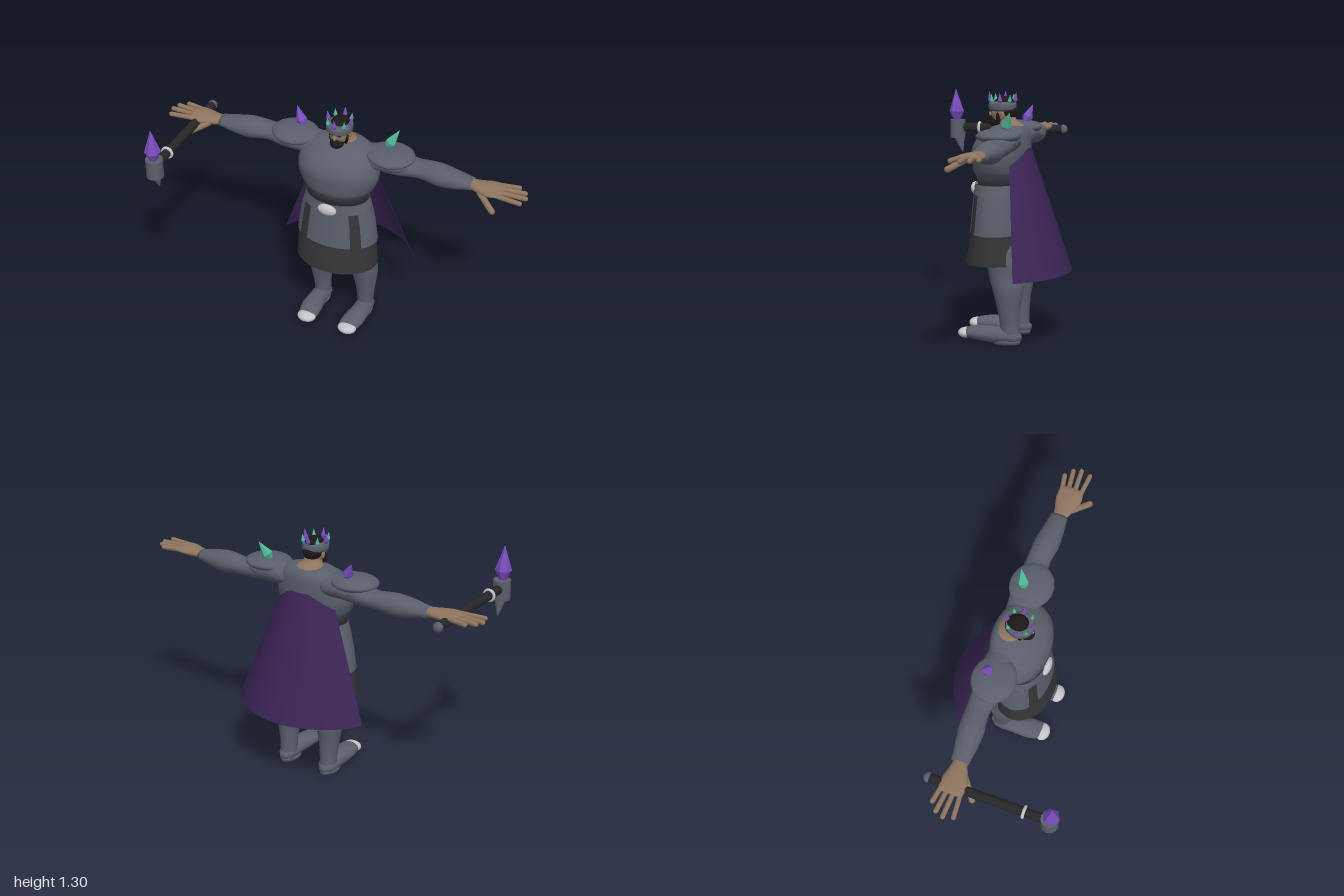
import * as THREE from 'three';

const mat = (name, color, side = THREE.FrontSide) => {
  const m = new THREE.MeshStandardMaterial({ color, side });
  m.name = name;
  return m;
};

// Smooth tube through elliptical sections [t, c1, c2, r1, r2] in rising t.
// Centres and radii: axis y -> (x, z), axis x -> (z, y), axis z -> (y, x).
function loft(axis, sections, { steps = 4, sides = 28, from = 0, to = 360, caps = true, grow = 0 } = {}) {
  const rows = [];
  const at = (i) => sections[Math.min(Math.max(i, 0), sections.length - 1)];
  for (let i = 0; i < sections.length - 1; i++)
    for (let s = 0; s < steps + (i === sections.length - 2 ? 1 : 0); s++) {
      const f = s / steps;
      rows.push(at(i).map((b, k) => {
        const c = at(i + 1)[k];
        if (k === 0 || steps === 1) return b + (c - b) * f;
        const m0 = (c - at(i - 1)[k]) / 2, m1 = (at(i + 2)[k] - b) / 2;
        const f2 = f * f, f3 = f2 * f;
        return (2 * f3 - 3 * f2 + 1) * b + (f3 - 2 * f2 + f) * m0 + (3 * f2 - 2 * f3) * c + (f3 - f2) * m1;
      }));
    }
  const pos = [], idx = [];
  const put = (X, Y, Z) => pos.push(...(axis === 'y' ? [X, Y, Z] : axis === 'x' ? [Y, Z, X] : [Z, X, Y]));
  const full = to - from === 360, n = full ? sides : sides + 1;
  for (const [t, c1, c2, r1, r2] of rows)
    for (let j = 0; j < n; j++) {
      const a = THREE.MathUtils.degToRad(from + (to - from) * j / sides);
      put(c1 + (r1 + grow) * Math.cos(a), t, c2 + (r2 + grow) * Math.sin(a));
    }
  for (let i = 0; i < rows.length - 1; i++)
    for (let j = 0; j < sides; j++) {
      const k = (j + 1) % n, a = i * n + j, b = i * n + k;
      idx.push(a, a + n, b, b, a + n, b + n);
    }
  if (caps && full) {
    const first = rows[0], last = rows[rows.length - 1], c = pos.length / 3, top = (rows.length - 1) * n;
    put(first[1], first[0], first[2]);
    put(last[1], last[0], last[2]);
    for (let j = 0; j < n; j++) {
      const k = (j + 1) % n;
      idx.push(c, j, k, c + 1, top + k, top + j);
    }
  }
  const g = new THREE.BufferGeometry();
  g.setAttribute('position', new THREE.Float32BufferAttribute(pos, 3));
  g.setIndex(idx);
  g.computeVertexNormals();
  return g;
}

// Copy across x = 0 with the winding restored
function mirror(geo) {
  const g = geo.clone().scale(-1, 1, 1), a = g.index.array;
  for (let i = 0; i < a.length; i += 3) [a[i], a[i + 1]] = [a[i + 1], a[i]];
  return g;
}

const ball = (c, r) => new THREE.SphereGeometry(1, 24, 16).scale(...r).translate(...c);

function align(geo, base, dir) {
  const q = new THREE.Quaternion().setFromUnitVectors(new THREE.Vector3(0, 1, 0), new THREE.Vector3(...dir).normalize());
  return geo.applyQuaternion(q).translate(...base);
}

function rod(a, b, r) {
  const d = b.map((v, i) => v - a[i]), len = Math.hypot(...d);
  return align(new THREE.CapsuleGeometry(r, len - r, 4, 10).translate(0, len / 2 - r / 2, 0), a, d);
}

// Faceted crystal
function crystal(base, dir, len, r) {
  const p = [[0, 0], [r * 0.4, 0], [r, len * 0.3], [0, len]].map((v) => new THREE.Vector2(...v));
  const g = new THREE.LatheGeometry(p, 6).toNonIndexed();
  g.computeVertexNormals();
  return align(g, base, dir);
}

export function createModel() {
  const armour = mat('armour grey', 0x595f6b, THREE.DoubleSide);
  const dark = mat('dark cloth', 0x353538, THREE.DoubleSide);
  const skin = mat('skin', 0x8f755f);
  const silver = mat('silver', 0xc4c4c8);
  const purple = mat('purple crystal', 0x7a4dbd);
  const teal = mat('teal crystal', 0x4db595);
  const capeCloth = mat('cape purple', 0x3b2456, THREE.DoubleSide);
  const hair = mat('black hair', 0x1c1816);
  const wood = mat('black shaft', 0x262627);
  const model = new THREE.Group();
  const add = (name, geo, material) => {
    const m = new THREE.Mesh(geo, material);
    m.name = name;
    model.add(m);
  };
  const pair = (name, geo, material) => {
    add(name + 'Left', geo, material);
    add(name + 'Right', mirror(geo), material);
  };

  // Torso and belt
  add('breastplate', loft('y', [[0.862, 0, -0.055, 0.165, 0.12], [0.89, 0, -0.058, 0.192, 0.138],
    [0.95, 0, -0.06, 0.216, 0.147], [1.0, 0, -0.063, 0.218, 0.15], [1.05, 0, -0.075, 0.205, 0.138],
    [1.09, 0, -0.095, 0.18, 0.112], [1.118, 0, -0.105, 0.13, 0.085], [1.13, 0, -0.105, 0.07, 0.05]], { sides: 40 }), armour);
  add('waist', loft('y', [[0.81, 0, -0.055, 0.165, 0.115], [0.88, 0, -0.055, 0.166, 0.117]], { steps: 1 }), dark);
  add('buckle', ball([-0.005, 0.793, 0.078], [0.052, 0.032, 0.022]), silver);

  // Skirt with plates laid over it, leaving dark strips in the front corners
  const skirt = [[0.415, 0, -0.045, 0.224, 0.164], [0.57, 0, -0.048, 0.216, 0.14],
    [0.7, 0, -0.05, 0.198, 0.13], [0.77, 0, -0.05, 0.182, 0.123], [0.825, 0, -0.05, 0.165, 0.118]];
  add('skirt', loft('y', skirt, { steps: 1, sides: 48, caps: false }), dark);
  const plate = (name, rows, from, to) =>
    add(name, loft('y', rows, { steps: 1, from, to, caps: false, grow: 0.005 }), armour);
  plate('skirtYoke', skirt.slice(3), 0, 360);
  plate('skirtFrontPlate', skirt.slice(1, 4), 56, 124);
  plate('skirtLeftPlate', skirt.slice(1, 4), -88, 38);
  plate('skirtRightPlate', skirt.slice(1, 4), 142, 268);

  // Legs and feet
  pair('leg', loft('y', [[0.04, 0.128, -0.137, 0.044, 0.05], [0.1, 0.128, -0.136, 0.045, 0.05],
    [0.2, 0.13, -0.13, 0.056, 0.062], [0.29, 0.127, -0.126, 0.069, 0.081], [0.36, 0.125, -0.11, 0.066, 0.084],
    [0.43, 0.12, -0.1, 0.075, 0.085], [0.62, 0.1, -0.06, 0.085, 0.085]]), armour);
  pair('foot', loft('z', [[-0.197, 0.035, 0.128, 0.015, 0.018], [-0.165, 0.04, 0.128, 0.036, 0.044],
    [-0.06, 0.046, 0.13, 0.042, 0.05], [0.02, 0.05, 0.126, 0.038, 0.058], [0.08, 0.05, 0.12, 0.03, 0.052],
    [0.11, 0.048, 0.118, 0.018, 0.036]]), armour);
  pair('toeCap', ball([0.12, 0.047, 0.098], [0.052, 0.027, 0.042]), silver);
  pair('sole', loft('y', [[0, 0.128, -0.12, 0.042, 0.07], [0.02, 0.128, -0.12, 0.045, 0.074]], { steps: 1 }), armour);

  // Arms, hands and shoulder guards
  pair('arm', loft('x', [[0.1, -0.11, 1.05, 0.08, 0.06], [0.22, -0.115, 1.06, 0.085, 0.062],
    [0.32, -0.12, 1.047, 0.074, 0.055], [0.4, -0.13, 1.04, 0.062, 0.044], [0.46, -0.13, 1.04, 0.061, 0.05],
    [0.53, -0.125, 1.037, 0.065, 0.057], [0.62, -0.12, 1.037, 0.056, 0.044], [0.7, -0.118, 1.038, 0.045, 0.027]]), armour);
  pair('hand', loft('x', [[0.68, -0.116, 1.04, 0.032, 0.022], [0.73, -0.11, 1.04, 0.045, 0.024],
    [0.8, -0.105, 1.044, 0.066, 0.022], [0.865, -0.106, 1.048, 0.062, 0.013]]), skin);
  const fingers = [[-0.155, -0.172, 0.945], [-0.123, -0.138, 0.985], [-0.09, -0.097, 1.0], [-0.057, -0.045, 0.985]];
  fingers.forEach(([z0, z1, tip], i) =>
    pair('finger' + (i + 1), rod([0.84, 1.046, z0], [tip - 0.007, 1.045, z1], 0.0125), skin));
  pair('thumb', rod([0.755, 1.03, -0.07], [0.855, 0.985, 0.008], 0.016), skin);
  pair('upperPauldron', ball([0.265, 1.092, -0.107], [0.126, 0.037, 0.113]), armour);
  pair('lowerPauldron', ball([0.285, 1.06, -0.115], [0.1, 0.045, 0.085]), armour);
  [[1, teal], [-1, purple]].forEach(([s, m]) =>
    add('shoulderCrystal', crystal([0.232 * s, 1.115, -0.135], [0.055 * s, 0.1, -0.035], 0.115, 0.029), m));

  // Cape, a flaring arc open at the front
  const cape = loft('y', [[0.37, 0, 0.015, 0.445, 0.445], [1.01, 0, -0.05, 0.165, 0.167]],
    { steps: 1, sides: 36, from: 210, to: 330, caps: false });
  add('cape', cape, capeCloth);

  // Neck and head
  add('neck', loft('y', [[1.09, 0, -0.12, 0.1, 0.08], [1.122, 0, -0.117, 0.078, 0.062],
    [1.15, 0, -0.095, 0.047, 0.047], [1.19, 0, -0.085, 0.042, 0.045]]), skin);
  add('head', ball([0, 1.188, -0.07], [0.052, 0.066, 0.062]), skin);
  add('nose', ball([0, 1.18, -0.007], [0.008, 0.014, 0.012]), skin);
  add('beard', ball([0, 1.142, -0.037], [0.036, 0.03, 0.043]), hair);
  add('moustache', ball([0, 1.168, -0.012], [0.022, 0.005, 0.012]), hair);
  pair('sideburn', ball([0.041, 1.168, -0.055], [0.012, 0.036, 0.013]), hair);
  pair('eyebrow', ball([0.02, 1.197, -0.013], [0.012, 0.004, 0.006]), hair);
  pair('ear', ball([0.053, 1.18, -0.078], [0.007, 0.017, 0.011]), skin);
  add('hairTop', ball([0, 1.222, -0.077], [0.053, 0.05, 0.06]), hair);
  add('hairBack', ball([0, 1.195, -0.093], [0.051, 0.05, 0.052]), hair);

  // Crown with alternating crystals
  add('crownBand', loft('y', [[1.197, 0, -0.068, 0.056, 0.06], [1.206, 0, -0.068, 0.067, 0.071],
    [1.236, 0, -0.068, 0.067, 0.071], [1.246, 0, -0.068, 0.052, 0.056]]), armour);
  for (let k = 0; k < 8; k++) {
    const a = k * Math.PI / 4, s = Math.sin(a), c = Math.cos(a), big = k % 2 === 0;
    add('crownCrystal', crystal([0.06 * s, 1.235, -0.068 + 0.064 * c], [s * 0.12, 1, c * 0.12],
      big ? 0.062 : 0.05, big ? 0.012 : 0.011), big ? purple : teal);
  }

  // War hammer held across the right hand
  const hx = -0.82, hy = 1.03, hz = 0.387;
  const along = (geo, z) => geo.rotateX(Math.PI / 2).translate(hx, hy, z);
  add('hammerShaft', along(new THREE.CylinderGeometry(0.024, 0.024, 0.6, 16), 0.06), wood);
  add('hammerPommel', ball([hx, hy, -0.235], [0.026, 0.026, 0.023]), armour);
  add('hammerRing', new THREE.TorusGeometry(0.027, 0.008, 10, 24).translate(hx, hy, 0.257), silver);
  add('hammerHead', new THREE.CylinderGeometry(0.045, 0.045, 0.104, 12).translate(hx, 1.021, hz), armour);
  add('hammerSpike', loft('y', [[0.888, hx, 0.358, 0.004, 0.004], [0.972, hx, 0.38, 0.03, 0.033]], { steps: 1, sides: 8 }), armour);
  add('hammerCrystal', crystal([hx, 1.065, 0.392], [0, 1, 0.03], 0.187, 0.043), purple);

  return model;
}
